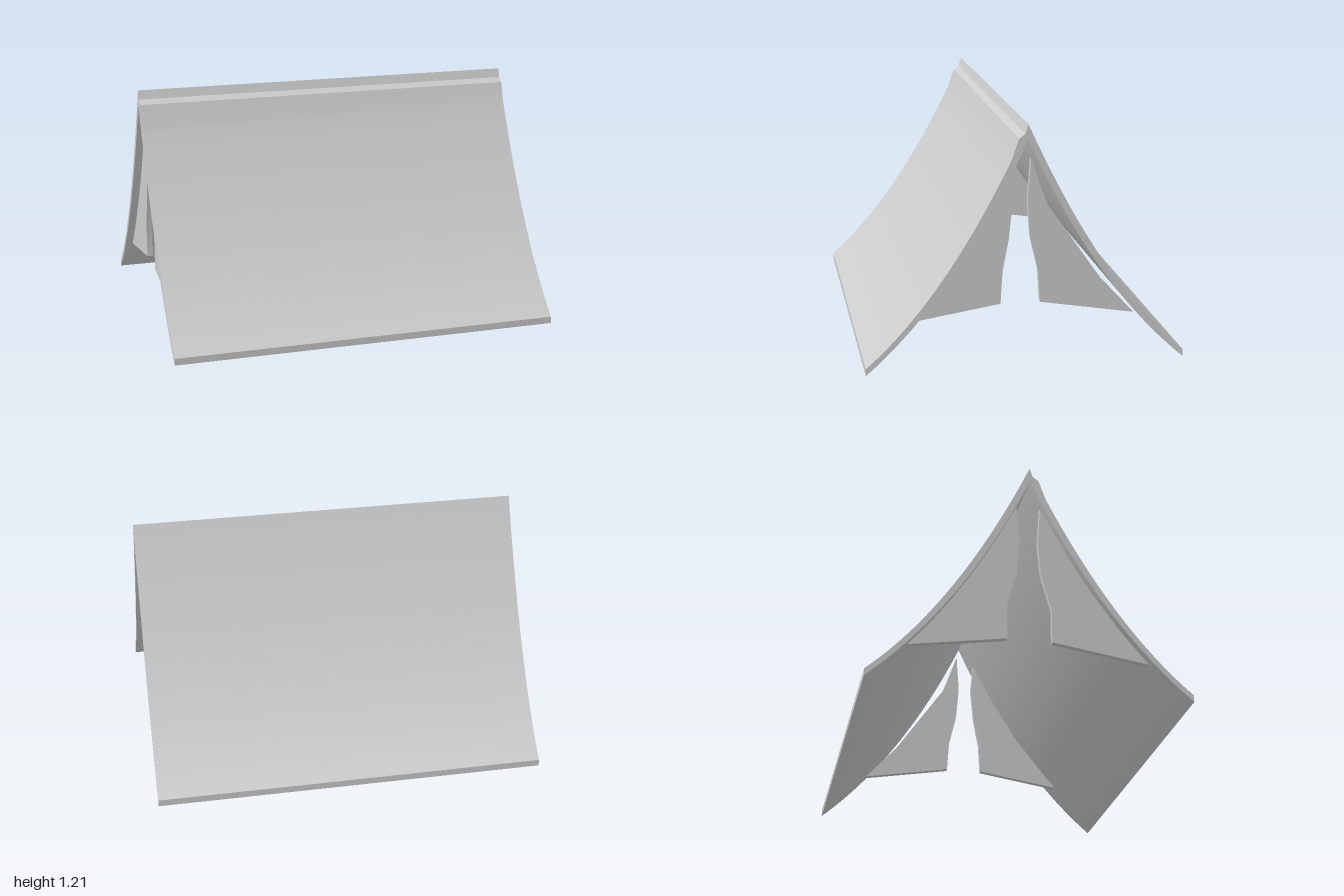
import * as THREE from 'three';
import { toCreasedNormals } from 'three/addons/utils/BufferGeometryUtils.js';

const canvas = new THREE.MeshStandardMaterial({ color: 0xcccccc, name: 'greyCanvas' });

// Extrude a (z, y) profile along x, from x1 down by the given width
function extrudeAlongX(profile, x1, width) {
  const shape = new THREE.Shape(profile);
  const geo = new THREE.ExtrudeGeometry(shape, { depth: width, bevelEnabled: false });
  geo.rotateY(-Math.PI / 2);
  geo.translate(x1, 0, 0);
  return toCreasedNormals(geo, 0.3);
}

function addPart(group, name, profile, x1, width) {
  const mesh = new THREE.Mesh(extrudeAlongX(profile, x1, width), canvas);
  mesh.name = name;
  group.add(mesh);
}

const vec = (z, y) => new THREE.Vector2(z, y);
const points = (list) => list.map(([z, y]) => vec(z, y));

// Sagging slope of the cloth, from ridge to hem
const outer = new THREE.QuadraticBezierCurve(vec(0, 1.205), vec(0.369, 0.393), vec(0.79, 0.035));
const inner = new THREE.QuadraticBezierCurve(vec(0, 1.13), vec(0.34, 0.383), vec(0.79, 0));
const mirror = (list) => list.map((p) => vec(-p.x, p.y));

export function createModel() {
  const tent = new THREE.Group();
  tent.name = 'tent';

  const outerPts = outer.getPoints(28);
  const innerPts = inner.getPoints(28);

  // Front slope, with a small stepped seam just under the ridge
  const seam = points([[0, 1.205], [0.015, 1.16], [0.045, 1.137]]);
  const frontOuter = [...seam, ...outerPts.filter((p) => p.y < 1.07)];
  addPart(tent, 'frontSlope', [...frontOuter, ...[...innerPts].reverse()], 1, 2);

  // Back slope, meeting the front one at the ridge
  addPart(tent, 'backSlope', [...mirror(outerPts), ...mirror(innerPts).reverse()], 1, 2);

  // Door flaps hanging inside the right end
  addPart(tent, 'frontLeftFlap', points([
    [0.07, 0.97], [0.055, 0.81], [0.075, 0.62], [0.105, 0.46],
    [0.115, 0.295], [0.56, 0.225], [0.33, 0.51], [0.16, 0.79],
  ]), 0.905, 0.03);
  addPart(tent, 'backLeftFlap', points([
    [-0.035, 1.015], [-0.02, 0.8], [-0.035, 0.62], [-0.075, 0.45],
    [-0.085, 0.29], [-0.56, 0.21], [-0.39, 0.395], [-0.115, 0.79],
  ]), 0.895, 0.03);

  // Slightly larger flaps inside the other end, reaching the cloth
  const farFlap = points([
    [0.06, 1.0], [0.045, 0.81], [0.06, 0.63], [0.11, 0.45],
    [0.11, 0.27], [0.59, 0.195], [0.37, 0.475], [0.2, 0.74],
  ]);
  addPart(tent, 'frontRightFlap', farFlap, -0.93, 0.03);
  addPart(tent, 'backRightFlap', mirror(farFlap), -0.93, 0.03);

  return tent;
}
